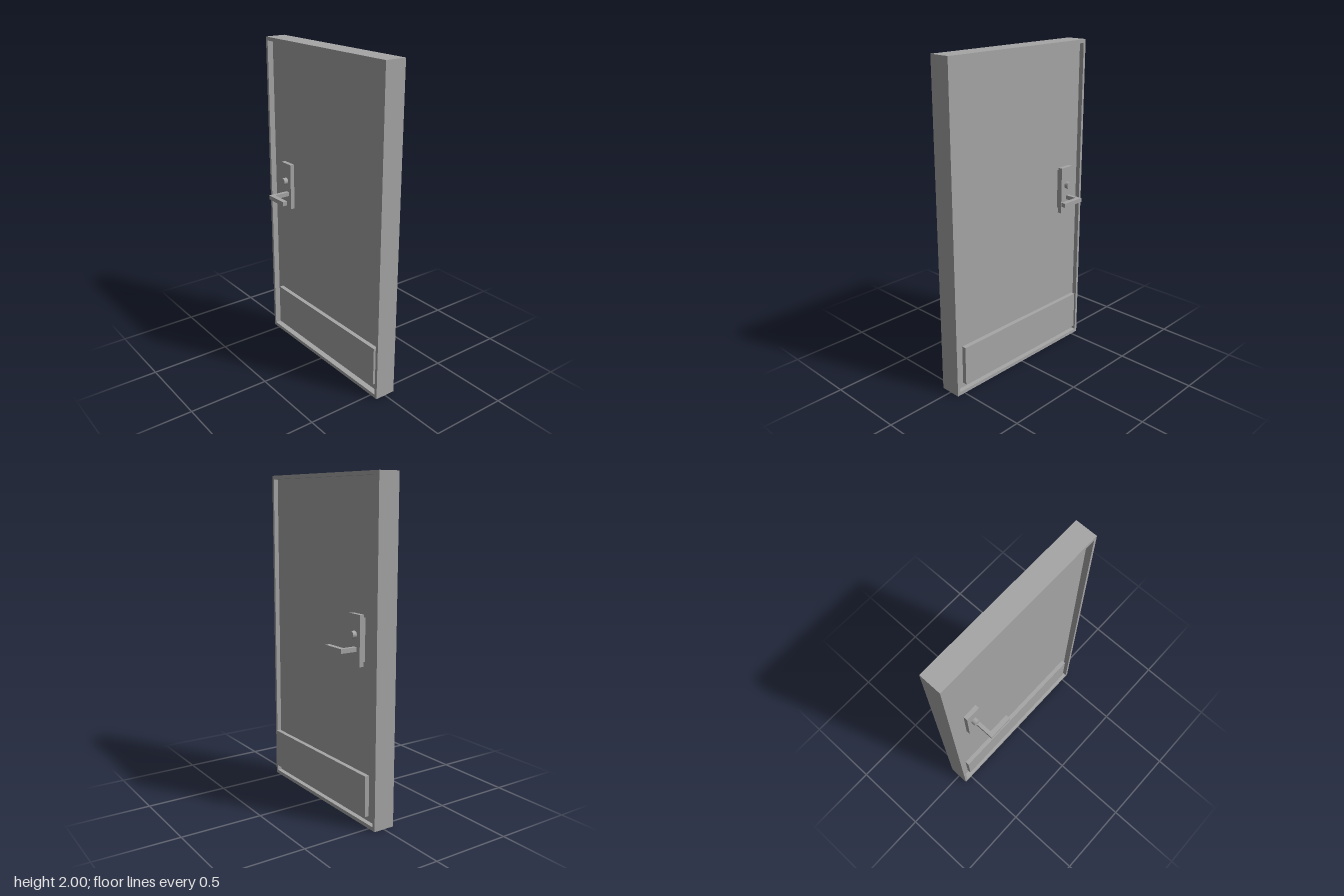
import * as THREE from 'three';

export function createModel() {
  const model = new THREE.Group();
  model.name = 'door';
  const metal = new THREE.MeshStandardMaterial({ color: 0xa6a6a6 });
  metal.name = 'grey metal';

  const add = (name, geometry, parent = model) => {
    const mesh = new THREE.Mesh(geometry, metal);
    mesh.name = name;
    parent.add(mesh);
    return mesh;
  };
  // Box given by its limits on each axis
  const box = (name, x0, x1, y0, y1, z0, z1, parent) =>
    add(name, new THREE.BoxGeometry(x1 - x0, y1 - y0, z1 - z0), parent)
      .position.set((x0 + x1) / 2, (y0 + y1) / 2, (z0 + z1) / 2);
  const rect = (path, x0, x1, y0, y1) => {
    path.moveTo(x0, y0);
    path.lineTo(x1, y0);
    path.lineTo(x1, y1);
    path.lineTo(x0, y1);
    path.closePath();
    return path;
  };

  // Surrounding frame with a rectangular opening
  const outline = rect(new THREE.Shape(), -0.555, 0.555, 0, 2);
  outline.holes.push(rect(new THREE.Path(), -0.537, 0.537, 0.022, 1.978));
  const frame = new THREE.ExtrudeGeometry(outline, { depth: 0.134, bevelEnabled: false });
  frame.translate(0, 0, -0.067);
  add('frame', frame);

  // Door leaf, recessed on both sides
  box('leaf', -0.537, 0.537, 0.022, 1.978, -0.038, 0.03);

  // Fittings on each face: plate base and face, lever start, lock end, lever end
  const sides = [
    { name: 'front', s: 1, base: 0.03, face: 0.057, x: -0.378, lock: 0.084, reach: 0.19 },
    { name: 'back', s: -1, base: 0.063, face: 0.09, x: -0.402, lock: 0.115, reach: 0.195 },
  ];
  for (const { name, s, base, face, x, lock, reach } of sides) {
    const set = new THREE.Group();
    set.name = name + 'Fittings';
    model.add(set);
    const slab = (part, x0, x1, y0, y1, a, b) =>
      box(part, x0, x1, y0, y1, Math.min(s * a, s * b), Math.max(s * a, s * b), set);

    slab('kickPlate', -0.492, 0.508, 0.073, 0.318, base, face);
    slab('lockPlate', -0.43, -0.332, 0.938, 1.232, base, face);
    if (base > 0.04) {
      // Spacers joining the raised plates to the leaf
      slab('kickPlateSpacer', -0.46, 0.476, 0.105, 0.286, 0.03, base);
      slab('lockPlateSpacer', -0.41, -0.352, 0.96, 1.21, 0.03, base);
    }

    // Lever: square stem and a sideways grip
    slab('leverStem', x, x + 0.024, 1.022, 1.048, face, reach - 0.03);
    slab('leverGrip', x, x + 0.158, 1.022, 1.048, reach - 0.03, reach);

    // Round lock cylinder
    const cylinder = new THREE.CylinderGeometry(0.022, 0.022, lock - face, 24);
    cylinder.rotateX(Math.PI / 2);
    add('lockCylinder', cylinder, set).position.set(-0.381, 1.116, s * (lock + face) / 2);
  }
  return model;
}
